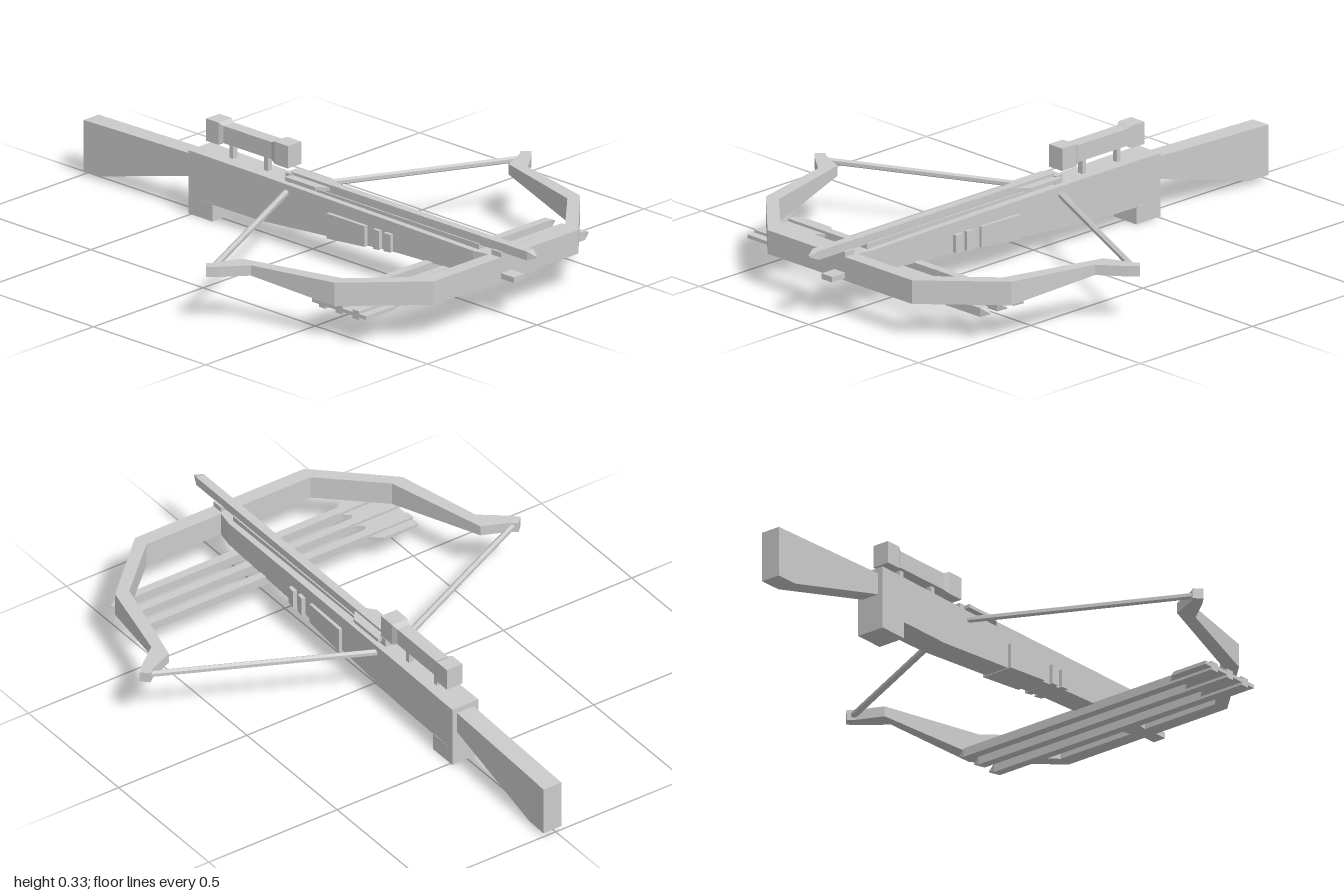
import * as THREE from 'three';

const mat = new THREE.MeshStandardMaterial({ color: 0xcccccc, flatShading: true });

// Solid skinned over matching cross-sections (arrays of [x, y, z]), flat faces, capped ends
function loft(sections) {
  const tris = [], n = sections[0].length, last = sections.length - 1;
  for (let s = 0; s < last; s++) {
    for (let i = 0; i < n; i++) {
      const j = (i + 1) % n, A = sections[s], B = sections[s + 1];
      tris.push([A[i], A[j], B[j]], [A[i], B[j], B[i]]);
    }
  }
  for (let i = 1; i < n - 1; i++) {
    const A = sections[0], B = sections[last];
    tris.push([A[0], A[i + 1], A[i]], [B[0], B[i], B[i + 1]]);
  }
  // Turn the faces outwards whatever the direction of the sections
  let volume = 0;
  const v = (p) => new THREE.Vector3(...p);
  for (const [a, b, c] of tris) volume += v(a).dot(v(b).cross(v(c)));
  const pos = tris.flatMap(([a, b, c]) => (volume > 0 ? [a, b, c] : [a, c, b])).flat();
  const geo = new THREE.BufferGeometry();
  geo.setAttribute('position', new THREE.Float32BufferAttribute(pos, 3));
  geo.computeVertexNormals();
  return geo;
}

// Rectangular section at a given z
const rect = (z, x0, x1, y0, y1) => [[x0, y0, z], [x1, y0, z], [x1, y1, z], [x0, y1, z]];

function add(parent, name, geo) {
  const mesh = new THREE.Mesh(geo, mat);
  mesh.name = name;
  parent.add(mesh);
  return mesh;
}

// Box given by its limits
const block = (parent, name, x0, x1, y0, y1, z0, z1) =>
  add(parent, name, loft([rect(z0, x0, x1, y0, y1), rect(z1, x0, x1, y0, y1)]));

// Bolt along +z, tail at z = 0
function makeBolt(name, length) {
  const bolt = new THREE.Group(), r = 0.015;
  bolt.name = name;
  add(bolt, 'shaft', loft([
    rect(0, -r, r, -r, r),
    rect(length - 0.03, -r, r, -r, r),
    rect(length, -0.002, 0.002, -0.002, 0.002),
  ]));
  // Flat vanes tapering towards the shaft
  for (const s of [-1, 1]) {
    add(bolt, 'vane', loft([
      rect(0, 0, s * 0.045, -0.006, 0.006),
      rect(0.135, 0, s * 0.045, -0.006, 0.006),
      rect(0.175, 0, s * 0.012, -0.006, 0.006),
    ]));
  }
  return bolt;
}

export function createModel() {
  const model = new THREE.Group();
  model.name = 'crossbow';

  // Body, butt and grip
  add(model, 'body', loft([
    rect(0.83, -0.026, 0.026, 0.12, 0.2),
    rect(0.755, -0.042, 0.04, 0.118, 0.2),
    rect(0.4, -0.042, 0.044, 0.105, 0.205),
    rect(-0.2, -0.042, 0.052, 0.057, 0.212),
    rect(-0.51, -0.044, 0.058, 0.057, 0.215),
  ]));
  block(model, 'grip', -0.044, 0.058, 0, 0.06, -0.51, -0.403);
  add(model, 'buttStock', loft([
    rect(-0.5, -0.025, 0.04, 0.125, 0.196),
    rect(-0.92, -0.022, 0.046, 0.014, 0.187),
    rect(-1, -0.022, 0.048, 0.014, 0.185),
  ]));

  // Fore grip sleeve with ribs in front of it
  const sleeve = (name, z0, z1) => {
    const low = (z) => 0.08 + (z - 0.12) * 0.09;
    add(model, name, loft([
      rect(z0, -0.055, 0.06, low(z0), 0.165), rect(z1, -0.055, 0.056, low(z1), 0.165)]));
  };
  sleeve('foreGrip', 0.115, 0.285);
  sleeve('foreGripRib', 0.322, 0.35);
  sleeve('foreGripRib', 0.37, 0.4);

  // Bolt rail, front rest and nose
  block(model, 'rail', -0.02, 0.02, 0.195, 0.218, -0.08, 0.76);
  block(model, 'boltRest', -0.024, 0.024, 0.195, 0.217, 0.82, 0.862);
  block(model, 'nose', -0.024, 0.024, 0.128, 0.147, 0.8, 0.92);
  block(model, 'nut', -0.022, 0.03, 0.17, 0.24, -0.1, -0.07);

  // Bow: outer x, z, inner x, z, underside height for each station of one half
  const half = [
    [0.33, 0.862, 0.32, 0.812, 0.12],
    [0.56, 0.645, 0.512, 0.635, 0.12],
    [0.632, 0.342, 0.607, 0.28, 0.165],
    [0.715, 0.277, 0.697, 0.241, 0.165],
    [0.742, 0.25, 0.718, 0.225, 0.165],
  ];
  const station = (s) => ([xo, zo, xi, zi, yb]) =>
    [[s * xo, yb, zo], [s * xo, 0.2, zo], [s * xi, 0.2, zi], [s * xi, yb, zi]];
  add(model, 'bow', loft([...half.map(station(-1)).reverse(), ...half.map(station(1))]));

  // String, one straight run to each limb tip
  for (const s of [-1, 1]) {
    const run = new THREE.LineCurve3(
      new THREE.Vector3(s * 0.015, 0.183, -0.09), new THREE.Vector3(s * 0.705, 0.183, 0.242));
    add(model, 'string', new THREE.TubeGeometry(run, 1, 0.011, 6));
  }

  // Loaded bolt and three spare bolts under the bow
  const loaded = makeBolt('loadedBolt', 1.08);
  loaded.position.set(0, 0.23, -0.08);
  model.add(loaded);
  for (const z of [0.56, 0.635, 0.71]) {
    const spare = makeBolt('spareBolt', 1.06);
    spare.rotation.y = Math.PI / 2;
    spare.position.set(-0.53, 0.1, z);
    model.add(spare);
  }

  // Sight with flared ends on two posts
  const sight = new THREE.Group();
  sight.name = 'sight';
  model.add(sight);
  const profile = [[-0.09, 0.038], [-0.15, 0.038], [-0.17, 0.029],
    [-0.385, 0.029], [-0.4, 0.038], [-0.455, 0.038]];
  add(sight, 'sightTube', loft(profile.map(([z, r]) =>
    rect(z, 0.01 - r * 0.8, 0.01 + r * 0.8, 0.293 - r, 0.293 + r))));
  for (const z of [-0.208, -0.362]) {
    block(sight, 'sightPost', 0, 0.02, 0.205, 0.27, z - 0.008, z + 0.008);
  }

  return model;
}
